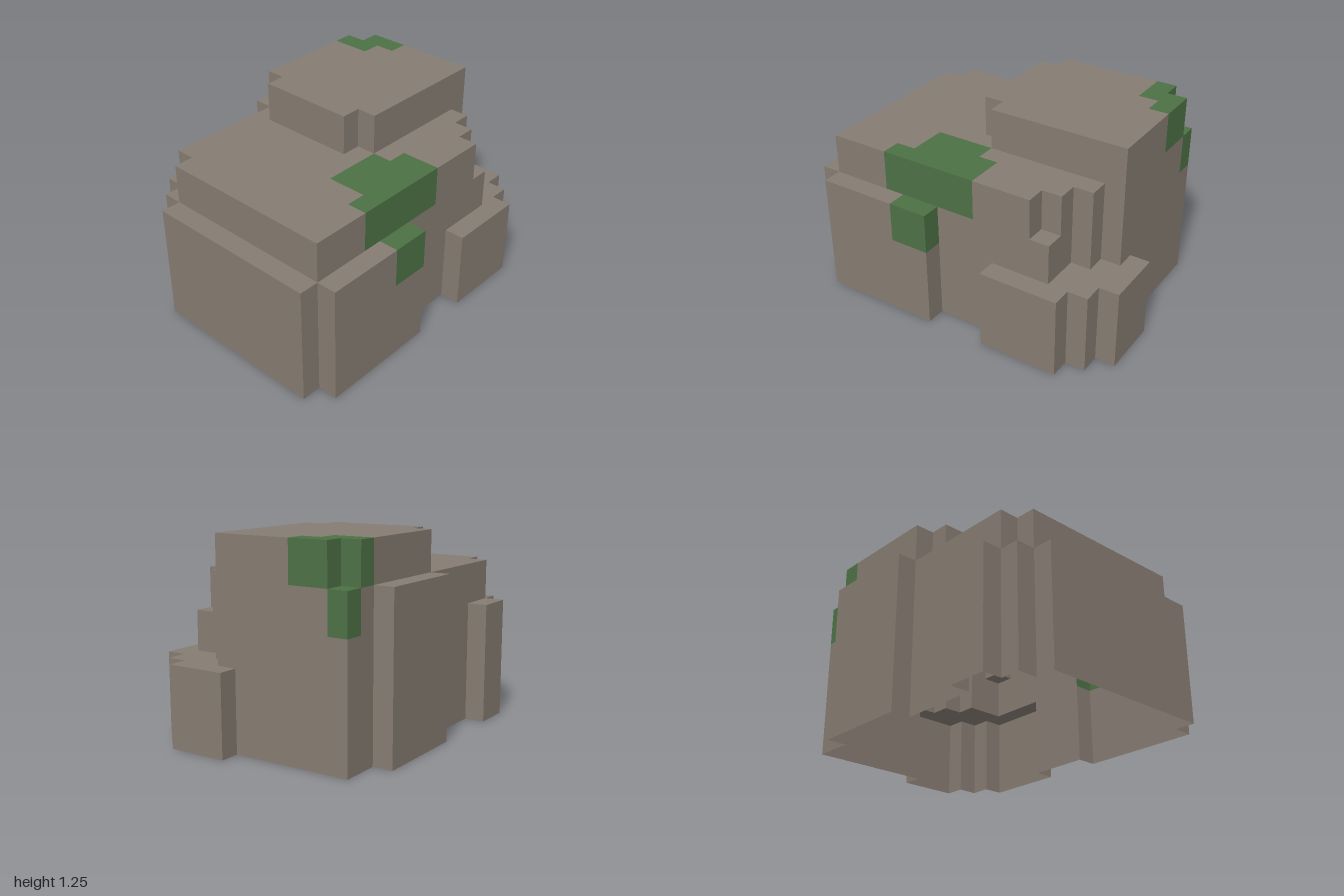
import * as THREE from 'three';
import { mergeGeometries } from 'three/addons/utils/BufferGeometryUtils.js';

const U = 0.125, NX = 16, NZ = 12;

// Column blocks [x0, x1, z0, z1, height] in grid units; later ones override earlier ones
const BLOCKS = [
  [1, 15, 1, 11, 8],   // main body
  [0, 1, 2, 11, 6],    // right-hand ledge
  [1, 2, 1, 2, 6],     // back corner step
  [2, 4, 0, 1, 6],     // small back slab
  [8, 13, 0, 1, 8],    // large back slab
  [8, 15, 1, 8, 10],   // upper block
  [7, 8, 2, 7, 10],    // upper block side
  [14, 15, 1, 2, 8],   // upper corner notch
  [1, 7, 11, 12, 6],   // tall front slab
  [10, 14, 11, 12, 4], // low front slab
  [15, 16, 7, 10, 4],  // left-hand ledge
  [14, 15, 8, 11, 4],  // front corner steps
  [13, 14, 9, 11, 4],
  [12, 13, 10, 11, 6],
];

// Mossy regions [x0, x1, z0, z1, y0, y1] in grid units
const MOSS = [
  [4, 9, 10, 11, 6, 8],
  [5, 8, 8, 11, 7, 8],
  [8, 9, 9, 11, 7, 8],
  [5, 7, 11, 12, 4, 6],
  [13, 15, 1, 3, 8, 10],
  [14, 15, 3, 4, 8, 10],
  [14, 15, 1, 2, 6, 8],
];

const inside = (v, a, b) => v >= a && v < b;

function heightAt(i, j) {
  let h = 0;
  for (const [x0, x1, z0, z1, top] of BLOCKS) {
    if (inside(i, x0, x1) && inside(j, z0, z1)) h = top;
  }
  return h;
}

const isMoss = (i, j, k) => MOSS.some(([x0, x1, z0, z1, y0, y1]) =>
  inside(i, x0, x1) && inside(j, z0, z1) && inside(k, y0, y1));

// One square face of a grid cell, facing along (dx, dy, dz)
function cellFace(i, j, k, dx, dy, dz) {
  const g = new THREE.PlaneGeometry(U, U);
  if (dy) g.rotateX(-Math.PI / 2);
  else g.rotateY(Math.atan2(dx, dz));
  return g.translate(
    (i + 0.5 + dx / 2 - NX / 2) * U,
    (k + 0.5 + dy / 2) * U,
    (j + 0.5 + dz / 2 - NZ / 2) * U);
}

export function createModel() {
  const stone = new THREE.MeshStandardMaterial({ color: 0x857b71, side: THREE.DoubleSide });
  stone.name = 'stone';
  const moss = new THREE.MeshStandardMaterial({ color: 0x4c7044, side: THREE.DoubleSide });
  moss.name = 'moss';

  // Outer shell, open underneath
  const stoneFaces = [], mossFaces = [];
  const add = (i, j, k, dx, dy, dz) =>
    (isMoss(i, j, k) ? mossFaces : stoneFaces).push(cellFace(i, j, k, dx, dy, dz));
  for (let i = 0; i < NX; i++) {
    for (let j = 0; j < NZ; j++) {
      const h = heightAt(i, j);
      if (!h) continue;
      add(i, j, h - 1, 0, 1, 0);
      for (const [dx, dz] of [[1, 0], [-1, 0], [0, 1], [0, -1]]) {
        for (let k = heightAt(i + dx, j + dz); k < h; k++) add(i, j, k, dx, 0, dz);
      }
    }
  }

  const group = new THREE.Group();
  group.name = 'mossyRock';
  for (const [name, faces, material] of [
    ['rockBody', stoneFaces, stone], ['mossPatches', mossFaces, moss]]) {
    const mesh = new THREE.Mesh(mergeGeometries(faces), material);
    mesh.name = name;
    group.add(mesh);
  }
  return group;
}
